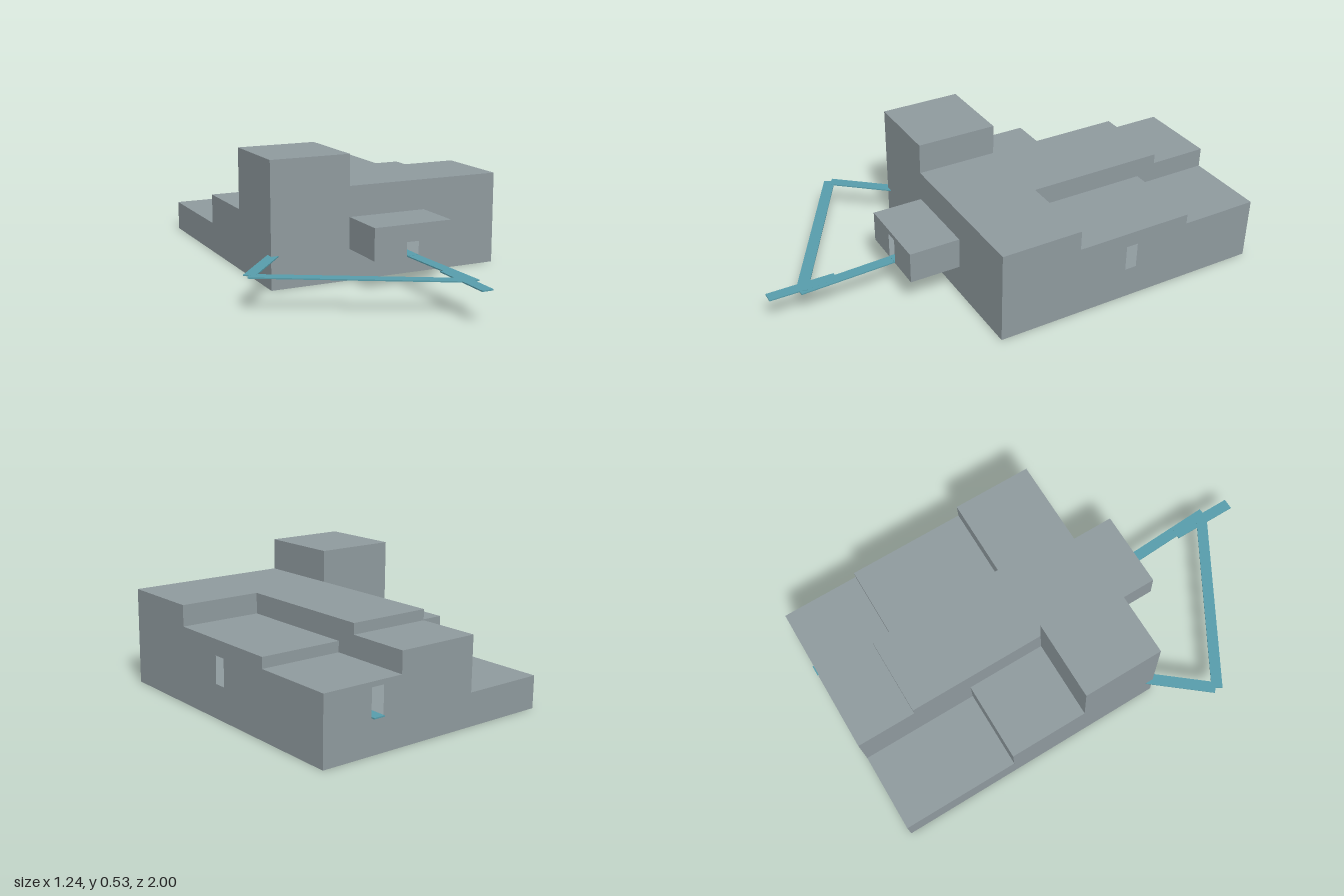
import * as THREE from 'three';

const stone = new THREE.MeshStandardMaterial({ color: 0x8f9a9e, side: THREE.DoubleSide });
stone.name = 'grey stone';
const teal = new THREE.MeshStandardMaterial({ color: 0x579dab });
teal.name = 'teal path';

// Grid lines of the plan and the level of the upper floor
const X = [-0.43, -0.08, 0.27, 0.62];
const BACK = -0.99, FRONT = 0.235, PORCH = 0.457, FLOOR = 0.134;

// Three columns of stepped rooms: [back z, front z, roof height]
const columns = [
  [[BACK, -0.47, 0.134], [-0.47, -0.12, 0.267], [-0.12, FRONT, 0.533]],
  [[BACK, -0.73, 0.356], [-0.73, FRONT, 0.4]],
  [[BACK, -0.645, 0.27], [-0.645, -0.12, 0.314], [-0.12, FRONT, 0.4]],
];

export function createModel() {
  const group = new THREE.Group();
  const add = (name, geometry, material = stone) => {
    const mesh = new THREE.Mesh(geometry, material);
    mesh.name = name;
    group.add(mesh);
    return mesh;
  };

  // Upright wall across x (at a z) or along z (at an x), with optional door openings [u0, u1]
  const wall = (name, axis, at, points, doors = []) => {
    const shape = new THREE.Shape(points.map(([u, y]) => new THREE.Vector2(u, y)));
    for (const [a, b] of doors) {
      shape.holes.push(new THREE.Path([[a, 0.138], [a, 0.25], [b, 0.25], [b, 0.138]]
        .map(([u, y]) => new THREE.Vector2(u, y))));
    }
    const geometry = new THREE.ShapeGeometry(shape);
    if (axis === 'x') geometry.rotateY(-Math.PI / 2).translate(at, 0, 0);
    else geometry.translate(0, 0, at);
    add(name, geometry);
  };
  const rect = (u0, u1, y0, y1) => [[u0, y0], [u1, y0], [u1, y1], [u0, y1]];
  const slab = (name, x0, x1, z0, z1, y, up = true) => add(name,
    new THREE.PlaneGeometry(x1 - x0, z1 - z0).rotateX(up ? -Math.PI / 2 : Math.PI / 2)
      .translate((x0 + x1) / 2, y, (z0 + z1) / 2));

  // Stepped outline of a row of [start, end, height]
  const outline = (row) => [[row[0][0], 0],
    ...row.flatMap(([a, b, h]) => [[a, h], [b, h]]), [row[row.length - 1][1], 0]];

  // Outer walls
  const acrossX = (pick) => columns.map((c, i) => [X[i], X[i + 1], pick(c)[2]]);
  wall('backWall', 'z', BACK, outline(acrossX((c) => c[0])), [[0.353, 0.408]]);
  wall('frontWall', 'z', FRONT, outline(acrossX((c) => c[c.length - 1])), [[0.066, 0.12]]);
  wall('rightWall', 'x', X[0], outline(columns[0]));
  wall('leftWall', 'x', X[3], outline(columns[2]), [[-0.4, -0.347]]);

  // Roofs and the risers between steps of one column
  columns.forEach((column, i) => column.forEach(([z0, z1, h], j) => {
    slab('roof', X[i], X[i + 1], z0, z1, h);
    if (j) wall('stepRiser', 'z', z0, rect(X[i], X[i + 1], column[j - 1][2], h));
  }));

  // Side walls where neighbouring columns differ in height
  for (let i = 0; i < 2; i++) {
    for (const [a0, a1, ha] of columns[i]) {
      for (const [b0, b1, hb] of columns[i + 1]) {
        const z0 = Math.max(a0, b0), z1 = Math.min(a1, b1);
        if (z1 > z0 && ha !== hb) {
          wall('sideRiser', 'x', X[i + 1], rect(z0, z1, Math.min(ha, hb), Math.max(ha, hb)));
        }
      }
    }
  }
  slab('base', X[0], X[3], BACK, FRONT, 0, false);
  slab('upperFloor', X[1], X[3], BACK, FRONT, FLOOR);

  // Raised porch with a doorway
  wall('porchFront', 'z', PORCH, rect(X[1], X[2], FLOOR, 0.27), [[0.066, 0.12]]);
  for (const x of [X[1], X[2]]) wall('porchSide', 'x', x, rect(FRONT, PORCH, FLOOR, 0.27));
  slab('porchRoof', X[1], X[2], FRONT, PORCH, 0.27);
  slab('porchFloor', X[1], X[2], FRONT, PORCH, FLOOR, false);

  // Flat path strips, from [x, z] to [x, z]
  const strips = [
    [0.093, 0.44, 0.115, 0.875], [0.093, 0.71, 0.093, 1],
    [0.115, 0.865, -0.61, 0.452], [-0.605, 0.447, -0.405, 0.205],
    [0.38, -1, 0.38, -0.1], [0.38, -0.1, 0.093, 0.1], [0.093, 0.08, 0.093, 0.46],
  ];
  strips.forEach(([x0, z0, x1, z1], i) => {
    const dx = x1 - x0, dz = z1 - z0;
    const strip = add('pathStrip', new THREE.BoxGeometry(0.048, 0.005, Math.hypot(dx, dz)), teal);
    strip.position.set((x0 + x1) / 2, 0.138 + i * 0.0002, (z0 + z1) / 2);
    strip.rotation.y = Math.atan2(dx, dz);
  });

  return group;
}
